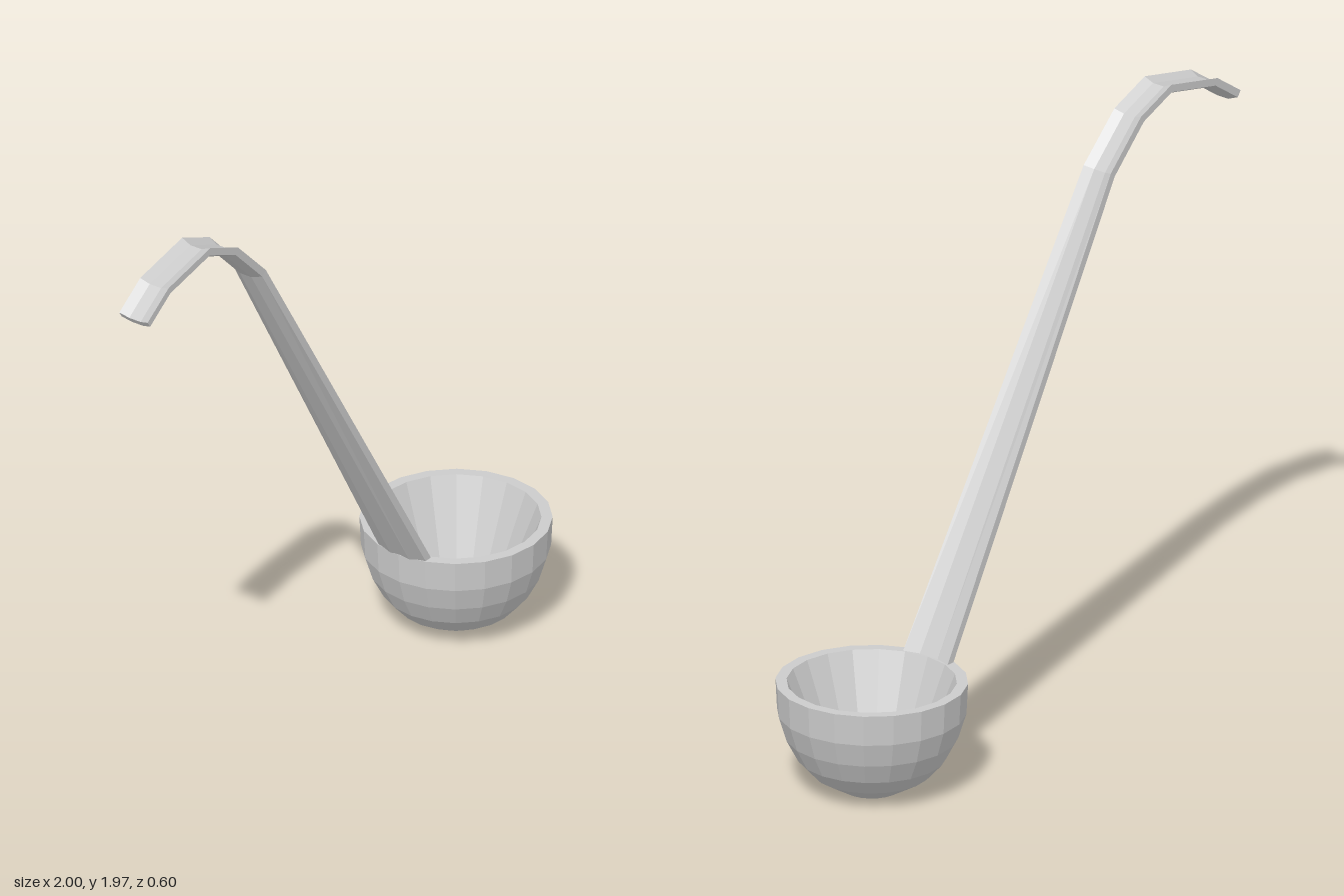
import * as THREE from 'three';

const material = new THREE.MeshStandardMaterial({ color: 0xcccccc, flatShading: true });

// Bowl: faceted rounded outside, flat rim, straight tapered inside with a flat floor
function makeBowl() {
  const profile = [
    [0, 0], [0.09, 0], [0.185, 0.055], [0.235, 0.11], [0.272, 0.18], [0.297, 0.26], [0.302, 0.36],
    [0.267, 0.36], [0.147, 0.06], [0, 0.06],
  ].map(([r, y]) => new THREE.Vector2(r, y));
  const bowl = new THREE.Mesh(new THREE.LatheGeometry(profile, 20), material);
  bowl.name = 'bowl';
  bowl.position.x = 0.695;
  return bowl;
}

// Handle: a shallow grooved strip swept along a bent path, [x, y, half width] of its upper edges
function makeHandle() {
  const path = [
    [0.445, 0.35, 0.092], [-0.38, 1.755, 0.056], [-0.525, 1.902, 0.055],
    [-0.67, 1.966, 0.055], [-0.89, 1.922, 0.055], [-1, 1.848, 0.055],
  ];
  const thick = 0.024, dip = 0.014, across = [-1, -0.4, 0.4, 1];
  const sink = (u) => (Math.abs(u) < 1 ? -dip : 0);
  // Section corners, counterclockwise: underside, then top
  const section = [
    ...across.map((u) => [u, sink(u) - thick]),
    ...across.slice().reverse().map((u) => [u, sink(u)]),
  ];
  const direction = (i) => new THREE.Vector2(
    path[i + 1][0] - path[i][0], path[i + 1][1] - path[i][1]).normalize();
  const last = path.length - 1, n = section.length;

  const positions = [], index = [];
  path.forEach(([x, y, w], i) => {
    const before = direction(Math.max(i - 1, 0)), after = direction(Math.min(i, last - 1));
    const d = before.clone().add(after).normalize();
    const miter = 1 / d.dot(after);
    for (const [u, h] of section) {
      positions.push(x + d.y * h * miter, y - d.x * h * miter, u * w);
    }
  });
  const quad = (a, b, c, d) => index.push(a, b, c, a, c, d);
  for (let i = 0; i < last; i++) {
    for (let j = 0; j < n; j++) {
      const k = (j + 1) % n;
      quad(i * n + j, i * n + k, (i + 1) * n + k, (i + 1) * n + j);
    }
  }
  // End caps
  for (let k = 0; k < 3; k++) {
    const e = last * n;
    quad(7 - k, 6 - k, k + 1, k);
    quad(e + k, e + k + 1, e + 6 - k, e + 7 - k);
  }

  const geometry = new THREE.BufferGeometry();
  geometry.setAttribute('position', new THREE.Float32BufferAttribute(positions, 3));
  geometry.setIndex(index);
  const flat = geometry.toNonIndexed();
  flat.computeVertexNormals();
  const handle = new THREE.Mesh(flat, material);
  handle.name = 'handle';
  return handle;
}

export function createModel() {
  const group = new THREE.Group();
  group.name = 'ladle';
  group.add(makeBowl(), makeHandle());
  return group;
}
